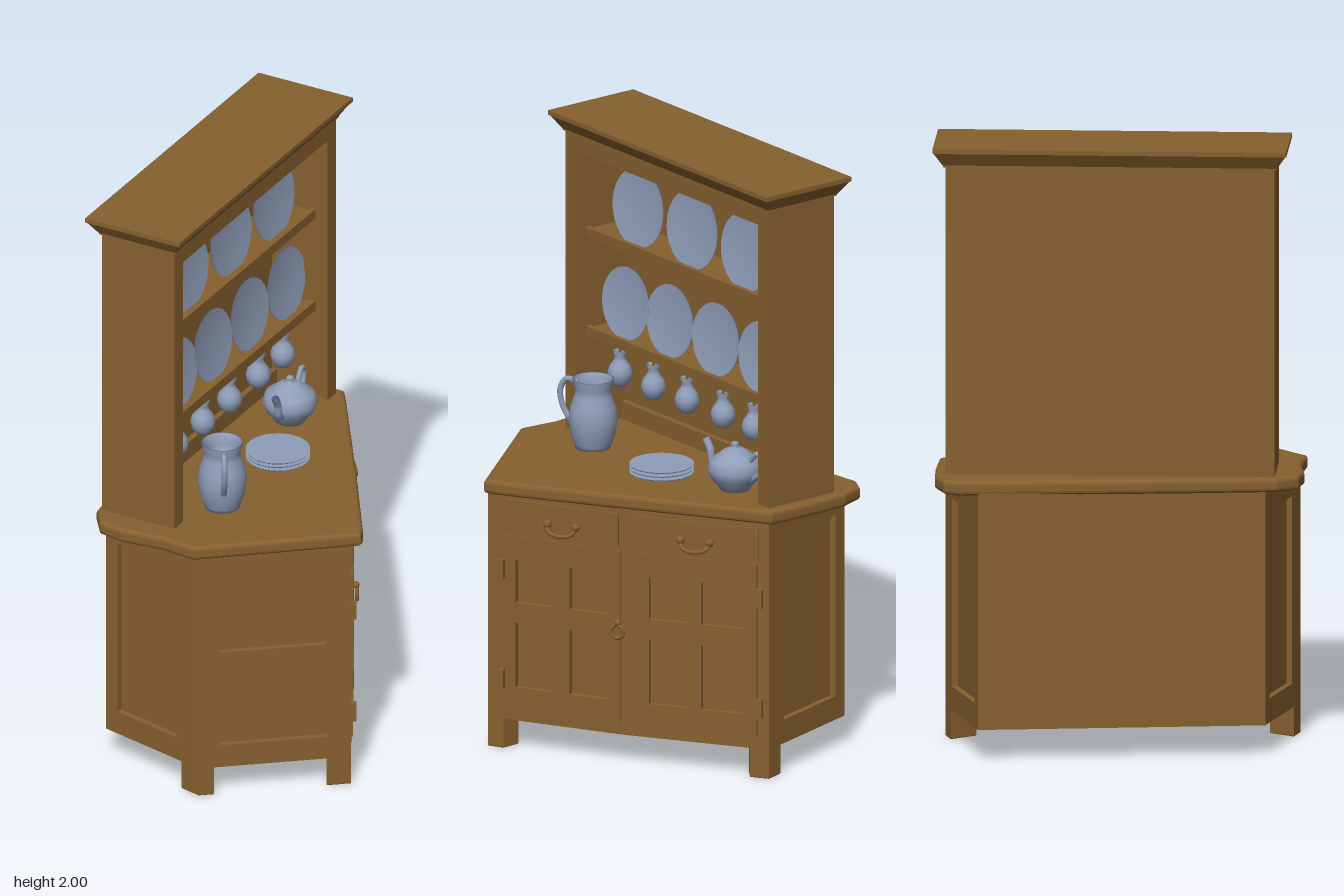
import * as THREE from 'three';

const wood = new THREE.MeshStandardMaterial({ color: 0x86602f });
wood.name = 'oak wood';
const china = new THREE.MeshStandardMaterial({ color: 0x8f9db8, side: THREE.DoubleSide });
china.name = 'blue grey china';

const V2 = (x, y) => new THREE.Vector2(x, y);
const V3 = (x, y, z) => new THREE.Vector3(x, y, z);

function add(parent, name, geo, mat = wood, x = 0, y = 0, z = 0) {
  const m = new THREE.Mesh(geo, mat);
  m.name = name;
  m.position.set(x, y, z);
  parent.add(m);
  return m;
}

// box given by its limits on each axis
function block(parent, name, x0, x1, y0, y1, z0, z1) {
  return add(parent, name, new THREE.BoxGeometry(x1 - x0, y1 - y0, z1 - z0), wood,
    (x0 + x1) / 2, (y0 + y1) / 2, (z0 + z1) / 2);
}

// upright prism from a plan outline of [x, z] points
function prism(parent, name, plan, y0, y1, bevel = 0) {
  const shape = new THREE.Shape(plan.map(([x, z]) => V2(x, -z)));
  const geo = new THREE.ExtrudeGeometry(shape, {
    depth: y1 - y0 - 2 * bevel, bevelEnabled: bevel > 0, bevelSize: bevel,
    bevelThickness: bevel, bevelOffset: -bevel, bevelSegments: 3,
  });
  geo.rotateX(-Math.PI / 2);
  return add(parent, name, geo, wood, 0, y0 + bevel, 0);
}

// flat board with rectangular holes, each rectangle as [x0, x1, y0, y1]
function board([x0, x1, y0, y1], holes, depth) {
  const corners = (a, b, c, d) => [V2(a, c), V2(b, c), V2(b, d), V2(a, d)];
  const shape = new THREE.Shape(corners(x0, x1, y0, y1));
  for (const h of holes) shape.holes.push(new THREE.Path(corners(...h).reverse()));
  return new THREE.ExtrudeGeometry(shape, { depth, bevelEnabled: false });
}

function lathe(points, segments = 28) {
  return new THREE.LatheGeometry(points.map(([r, y]) => V2(r, y)), segments);
}

function tube(points, radius) {
  return new THREE.TubeGeometry(new THREE.CatmullRomCurve3(points.map((p) => V3(...p))), 16, radius, 8);
}

// group lying on one side of the cabinet: x along the side, z outward
function sideGroup(parent, name, p, q) {
  const g = new THREE.Group();
  g.name = name;
  g.position.set(p[0], 0, p[1]);
  g.rotation.y = Math.atan2(-(q[1] - p[1]), q[0] - p[0]);
  parent.add(g);
  return { g, len: Math.hypot(q[0] - p[0], q[1] - p[1]) };
}

function buildCabinet(root) {
  const A = [-0.02, 0.593], B = [0.41, 0.335], M = [0.24, -0.11];
  const C = [0.025, -0.56], D = [-0.4, -0.49], E = [-0.4, 0.445];
  const centre = [-0.03, 0.03];
  const toward = (p, q, d) => {
    const l = Math.hypot(q[0] - p[0], q[1] - p[1]);
    return [p[0] + (q[0] - p[0]) * d / l, p[1] + (q[1] - p[1]) * d / l];
  };
  prism(root, 'cabinetCore', [A, B, M, C, D, E].map((p) =>
    p.map((c, i) => centre[i] + (c - centre[i]) * 0.96)), 0.1, 0.88);
  prism(root, 'countertop', [[0.44, 0.325], [-0.03, 0.615], [-0.16, 0.585], [-0.3, 0.582], [-0.38, 0.555],
    [-0.42, 0.48], [-0.418, 0.2], [-0.395, -0.55], [-0.36, -0.6], [-0.27, -0.62], [-0.12, -0.605],
    [0.03, -0.58], [0.055, -0.53], [0.28, -0.05], [0.43, 0.28]], 0.872, 0.92, 0.014);

  // panelled side walls: holes are [start, end] fractions of the side, then heights
  const walls = [
    ['frontWall', A, B, [[0.14, 0.86, 0.18, 0.44], [0.14, 0.86, 0.52, 0.8]]],
    ['farWall', C, D, [[0.2, 0.88, 0.18, 0.8]]],
    ['backWall', D, E, []],
    ['nearWall', E, A, [[0.12, 0.76, 0.18, 0.8]]],
  ];
  for (const [name, p, q, holes] of walls) {
    const { g, len } = sideGroup(root, name, p, q);
    add(g, name + 'Frame', board([0, len, 0.1, 0.88],
      holes.map(([a, b, c, d]) => [a * len, b * len, c, d]), 0.02), wood, 0, 0, -0.02);
  }

  // two doors with a drawer above each
  const bays = [
    { name: 'leftBay', p: B, q: M, cols: [[0.21, 0.48], [0.61, 0.89]], drawer: [0.14, 0.97], door: [0.13, 0.985], hinge: 0.105 },
    { name: 'rightBay', p: M, q: C, cols: [[0.18, 0.44], [0.54, 0.82]], drawer: [0.07, 0.93], door: [0.03, 0.92], hinge: 0.94 },
  ];
  for (const { name, p, q, cols, drawer, door, hinge } of bays) {
    const { g, len } = sideGroup(root, name, p, q);
    const holes = [];
    for (const [a, b] of cols) {
      holes.push([a * len, b * len, 0.215, 0.435], [a * len, b * len, 0.505, 0.65]);
    }
    add(g, 'bayFrame', board([0, len, 0.1, 0.88], holes, 0.02), wood, 0, 0, -0.02);
    add(g, 'door', board([door[0] * len, door[1] * len, 0.14, 0.73], holes, 0.006));
    block(g, 'drawerFront', drawer[0] * len, drawer[1] * len, 0.745, 0.855, -0.005, 0.008);
    // drooping drawer pull
    const x = (drawer[0] + drawer[1]) / 2 * len;
    add(g, 'drawerPull', tube([[x - 0.05, 0.785, 0.012], [x - 0.04, 0.768, 0.026], [x, 0.758, 0.03],
      [x + 0.04, 0.768, 0.026], [x + 0.05, 0.785, 0.012]], 0.007));
    for (const s of [-1, 1]) {
      add(g, 'pullMount', new THREE.SphereGeometry(0.014, 12, 8), wood, x + s * 0.05, 0.79, 0.012);
    }
    for (const y of [0.24, 0.615]) {
      block(g, 'hinge', hinge * len - 0.01, hinge * len + 0.01, y - 0.032, y + 0.032, 0, 0.018);
    }
    if (name === 'leftBay') {
      add(g, 'doorRing', new THREE.TorusGeometry(0.022, 0.006, 8, 20), wood, len * 0.97, 0.455, 0.016);
      add(g, 'ringMount', new THREE.SphereGeometry(0.012, 12, 8), wood, len * 0.97, 0.485, 0.012);
    }
  }

  // corner posts running down into feet
  for (const [p, a, da, b, db] of [[A, E, 0.075, B, 0.05], [B, A, 0.08, M, 0.055], [C, M, 0.065, D, 0.065]]) {
    prism(root, 'cornerLeg', [p, toward(p, b, db), toward(p, centre, 0.1), toward(p, a, da)], 0, 0.875, 0.004);
  }
}

function buildHutch(root) {
  const g = new THREE.Group();
  g.name = 'plateRack';
  g.position.set(-0.195, 0, -0.036);
  g.rotation.y = -THREE.MathUtils.degToRad(8);
  root.add(g);
  const d = 0.135, w = 0.535;
  block(g, 'rackBack', -d, -0.08, 0.91, 1.96, -w, w);
  block(g, 'rackTop', -d, d, 1.92, 1.96, -w, w);
  block(g, 'topRail', 0.105, d, 1.875, 1.96, -w, w);
  block(g, 'backSkirting', -0.08, -0.06, 0.91, 0.98, -0.49, 0.49);
  for (const s of [-1, 1]) {
    add(g, 'rackSide', new THREE.BoxGeometry(2 * d, 1.05, 0.04), wood, 0, 1.435, s * (w - 0.02));
    add(g, 'rackPost', new THREE.BoxGeometry(0.03, 1.05, 0.055), wood, d - 0.015, 1.435, s * (w - 0.0275));
  }
  for (const y of [1.573, 1.235]) {
    block(g, 'shelf', -0.09, 0.075, y, y + 0.022, -0.5, 0.5);
    block(g, 'shelfLip', 0.065, 0.082, y - 0.004, y + 0.03, -0.5, 0.5);
  }

  // cornice flaring out towards its top
  const flare = new THREE.BoxGeometry(0.345, 0.045, 1.145);
  const pos = flare.attributes.position;
  for (let i = 0; i < pos.count; i++) {
    if (pos.getY(i) < 0) pos.setXYZ(i, pos.getX(i) * 0.83, pos.getY(i), pos.getZ(i) * 0.95);
  }
  flare.computeVertexNormals();
  add(g, 'corniceFlare', flare, wood, 0, 1.964, 0);
  block(g, 'corniceTop', -0.1755, 0.1755, 1.985, 2, -0.575, 0.575);
  block(g, 'corniceBead', -0.142, 0.142, 1.935, 1.948, -0.542, 0.542);

  // standing plates leaning back
  const plate = (r, y, z) => {
    const geo = lathe([[0, -0.008], [r * 0.6, -0.008], [r, 0.006], [r, 0.011], [r * 0.65, 0.001], [0, 0.001]], 36);
    add(g, 'plate', geo, china, 0.03, y, z).rotation.z = -Math.PI / 2 + 0.1;
  };
  for (const z of [0.275, -0.01, -0.295]) plate(0.131, 1.715, z);
  for (const z of [0.34, 0.108, -0.134, -0.377]) plate(0.121, 1.372, z);

  // small jugs hung under the lower shelf
  const jug = lathe([[0, 0], [0.022, 0], [0.038, 0.022], [0.041, 0.045], [0.034, 0.066], [0.02, 0.085],
    [0.017, 0.1], [0.024, 0.118], [0.018, 0.118], [0.012, 0.1]], 20);
  for (const z of [0.363, 0.187, 0.01, -0.18, -0.343]) {
    add(g, 'hangingJug', jug, china, 0.045, 1.09, z);
    add(g, 'jugHook', new THREE.CylinderGeometry(0.005, 0.005, 0.06, 8), wood, 0.045, 1.21, z);
  }
}

function buildTableware(root) {
  // tall pitcher
  const pitcher = new THREE.Group();
  pitcher.name = 'pitcher';
  pitcher.position.set(-0.05, 0.92, 0.305);
  pitcher.rotation.y = -0.35 + Math.PI / 4;
  root.add(pitcher);
  add(pitcher, 'pitcherBody', lathe([[0, 0], [0.058, 0], [0.06, 0.012], [0.074, 0.05], [0.08, 0.1], [0.074, 0.14],
    [0.06, 0.18], [0.058, 0.2], [0.068, 0.233], [0.062, 0.233], [0.05, 0.2], [0.05, 0.16], [0, 0.14]]), china);
  add(pitcher, 'pitcherHandle', tube([[0, 0.215, 0.055], [0, 0.225, 0.088], [0, 0.19, 0.112],
    [0, 0.13, 0.104], [0, 0.08, 0.074]], 0.01), china);

  // stack of saucers
  const saucer = lathe([[0, 0], [0.065, 0], [0.103, 0.01], [0.105, 0.014], [0.07, 0.011], [0, 0.011]], 36);
  for (let i = 0; i < 3; i++) add(root, 'saucer', saucer, china, 0.003, 0.92 + i * 0.013, -0.055);

  // teapot
  const pot = new THREE.Group();
  pot.name = 'teapot';
  pot.position.set(-0.06, 0.92, -0.325);
  root.add(pot);
  add(pot, 'teapotBody', lathe([[0, 0], [0.05, 0], [0.054, 0.01], [0.08, 0.04], [0.09, 0.07], [0.08, 0.1], [0.05, 0.12],
    [0.045, 0.126], [0.025, 0.138], [0.008, 0.141], [0.014, 0.15], [0.01, 0.159], [0, 0.161]]), china);
  add(pot, 'teapotSpout', tube([[0, 0.05, 0.07], [0, 0.065, 0.1], [0, 0.11, 0.112], [0, 0.142, 0.132]], 0.013), china);
  add(pot, 'teapotHandle', tube([[0, 0.11, -0.07], [0, 0.14, -0.1], [0, 0.125, -0.122],
    [0, 0.08, -0.115], [0, 0.045, -0.075]], 0.009), china);
}

export function createModel() {
  const root = new THREE.Group();
  root.name = 'dresser';
  buildCabinet(root);
  buildHutch(root);
  buildTableware(root);
  return root;
}
